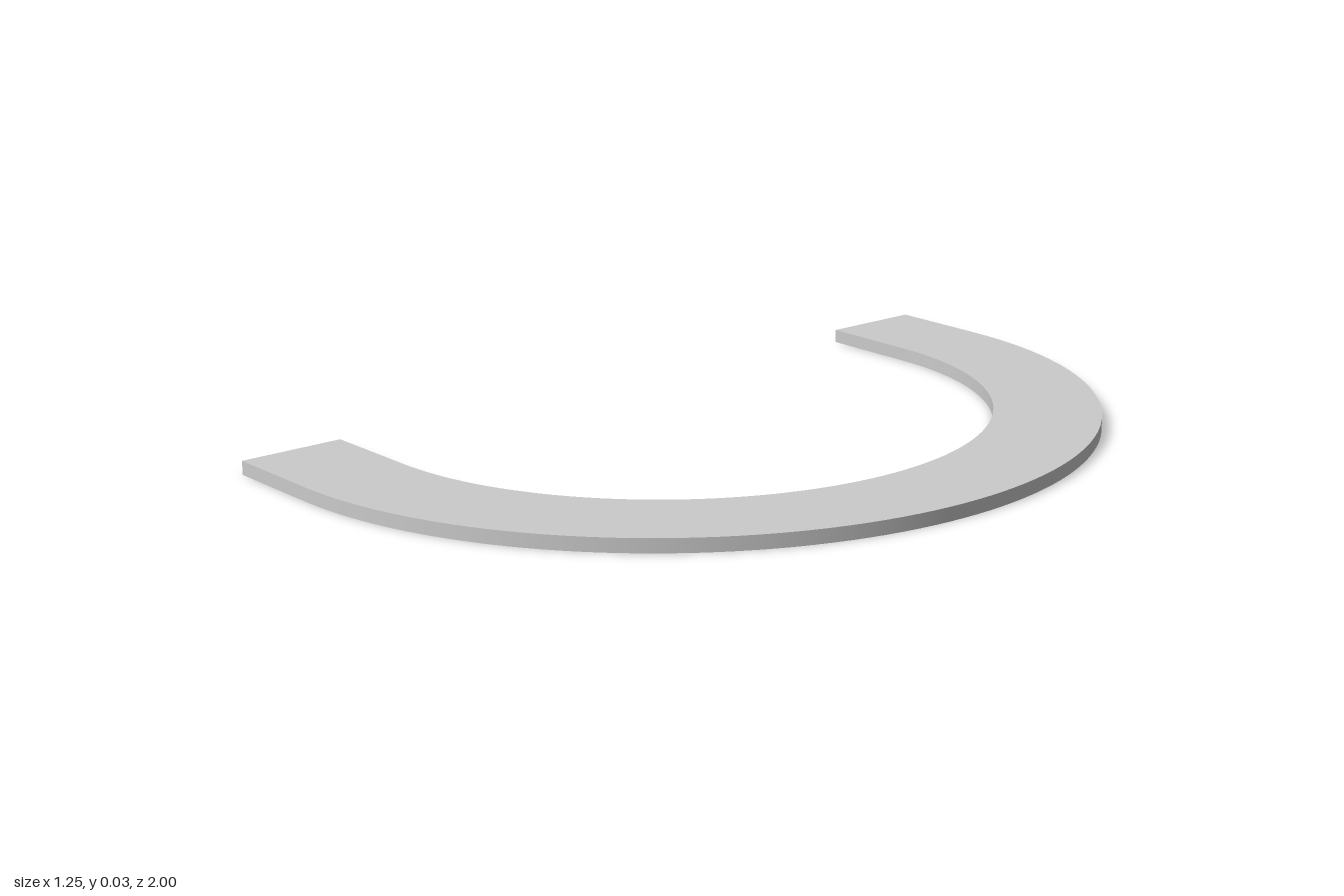
import * as THREE from 'three';

const INNER = 0.75, OUTER = 1, HEIGHT = 0.032;
const CENTER_X = -0.375, STRAIGHT = 0.25;
const SEGMENTS = 10, STEPS = 8;

const material = new THREE.MeshStandardMaterial({ color: 0xcccccc, side: THREE.DoubleSide });

// A station along the track: a base point on the axis and an outward direction.
const station = (angle, x = CENTER_X) => ({ x, nx: Math.cos(angle), nz: Math.sin(angle) });

// Thin channel, open underneath: inner wall, top and outer wall swept through the stations.
function channel(stations) {
  const strips = [
    { from: [INNER, 0], to: [INNER, HEIGHT], side: -1, up: 0 },
    { from: [INNER, HEIGHT], to: [OUTER, HEIGHT], side: 0, up: 1 },
    { from: [OUTER, HEIGHT], to: [OUTER, 0], side: 1, up: 0 },
  ];
  const position = [], normal = [], index = [];
  for (const { from, to, side, up } of strips) {
    const base = position.length / 3;
    stations.forEach((s, i) => {
      for (const [r, y] of [from, to]) {
        position.push(s.x + r * s.nx, y, r * s.nz);
        normal.push(side * s.nx, up, side * s.nz);
      }
      if (i > 0) {
        const a = base + 2 * (i - 1);
        index.push(a, a + 2, a + 1, a + 1, a + 2, a + 3);
      }
    });
  }
  const geometry = new THREE.BufferGeometry();
  geometry.setAttribute('position', new THREE.Float32BufferAttribute(position, 3));
  geometry.setAttribute('normal', new THREE.Float32BufferAttribute(normal, 3));
  geometry.setIndex(index);
  return geometry;
}

export function createModel() {
  const group = new THREE.Group();
  group.name = 'curvedBorder';
  const add = (name, geometry) => {
    const mesh = new THREE.Mesh(geometry, material);
    mesh.name = name;
    group.add(mesh);
    return mesh;
  };

  // Half ring of equal curved segments
  const sweep = Math.PI / SEGMENTS;
  for (let k = 0; k < SEGMENTS; k++) {
    const stations = [];
    for (let i = 0; i <= STEPS; i++) {
      stations.push(station(-Math.PI / 2 + sweep * (k + i / STEPS)));
    }
    add(`curvedSegment${k + 1}`, channel(stations));
  }

  // Straight end pieces, each closed by an end wall
  for (const side of [-1, 1]) {
    const label = side > 0 ? 'front' : 'back';
    const angle = side * Math.PI / 2;
    const stations = [station(angle, CENTER_X - STRAIGHT), station(angle)];
    if (side > 0) stations.reverse();
    add(`${label}StraightPiece`, channel(stations));

    const wall = add(`${label}EndWall`, new THREE.PlaneGeometry(OUTER - INNER, HEIGHT));
    wall.rotation.y = -Math.PI / 2;
    wall.position.set(CENTER_X - STRAIGHT, HEIGHT / 2, side * (INNER + OUTER) / 2);
  }
  return group;
}
